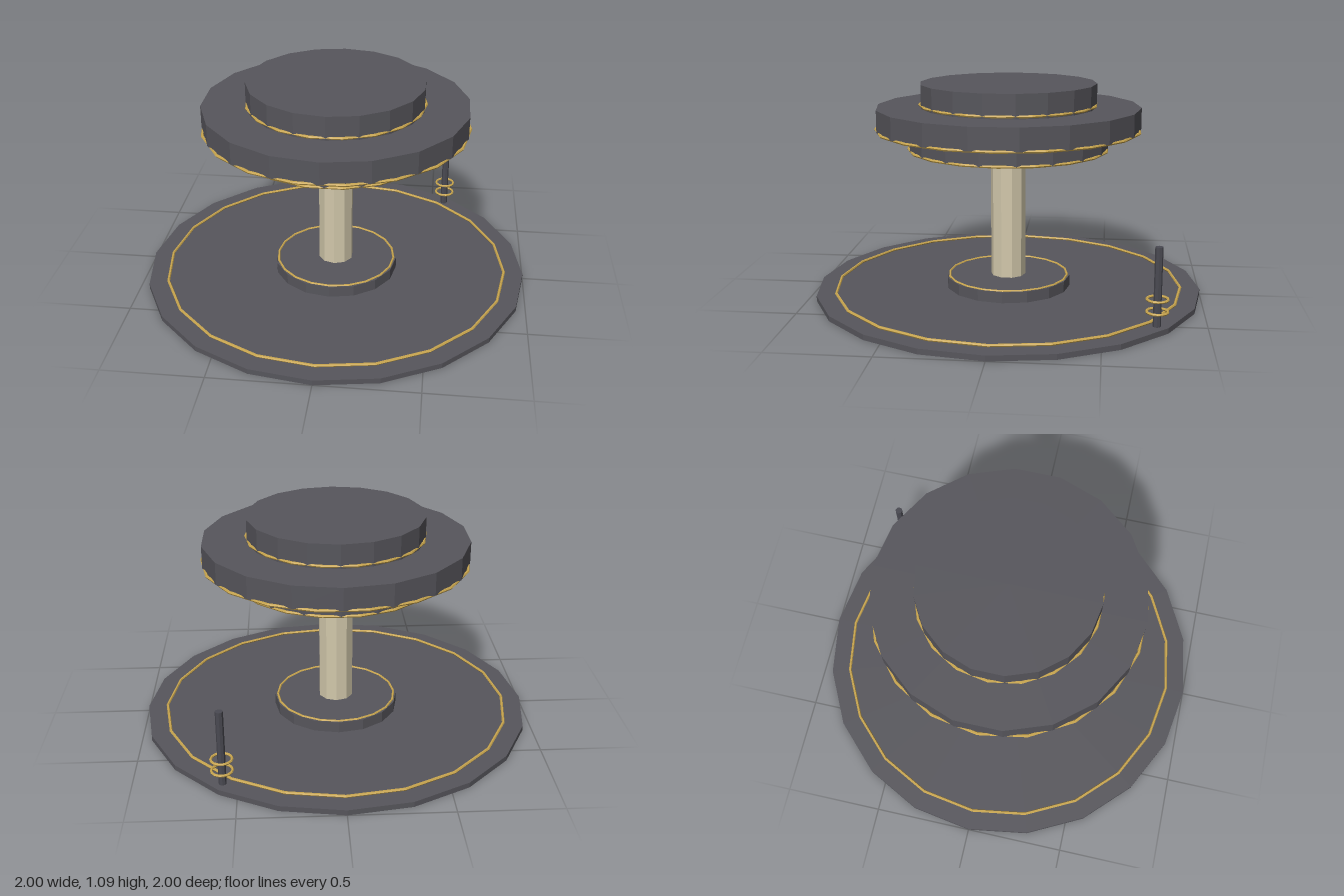
import * as THREE from 'three';

export function createModel() {
  const model = new THREE.Group();
  model.name = 'tieredPedestal';

  const mat = (name, color) => {
    const m = new THREE.MeshStandardMaterial({ color, flatShading: true });
    m.name = name;
    return m;
  };
  const slate = mat('slate', 0x57565c);
  const gold = mat('gold', 0xc9a64f);
  const cream = mat('cream', 0xd2c8ab);
  const iron = mat('iron', 0x4a4a52);

  const add = (name, geometry, material, x, y, z) => {
    const mesh = new THREE.Mesh(geometry, material);
    mesh.name = name;
    mesh.position.set(x, y, z);
    model.add(mesh);
    return mesh;
  };
  // Upright prism between two heights
  const disc = (name, r, y0, y1, sides, material = slate, x = 0, z = 0) =>
    add(name, new THREE.CylinderGeometry(r, r, y1 - y0, sides), material, x, (y0 + y1) / 2, z);
  // Horizontal trim ring
  const ring = (name, r, y, sides, tube = 0.0075, x = 0, z = 0) => {
    const g = new THREE.TorusGeometry(r, tube, 6, sides).rotateX(Math.PI / 2);
    return add(name, g, gold, x, y, z);
  };

  // Floor plate and column foot
  disc('basePlate', 1, 0, 0.027, 20);
  ring('basePlateTrim', 0.9, 0.033, 20);
  disc('columnFoot', 0.324, 0.027, 0.084, 16);
  ring('columnFootTrim', 0.31, 0.085, 20, 0.006);

  // Column
  disc('column', 0.09, 0.08, 0.765, 10, cream);

  // Three stacked tiers, each with a ring around its lower edge
  const tiers = [
    ['lowerTier', 0.51, 0.757, 0.862, 0.759],
    ['middleTier', 0.675, 0.86, 0.973, 0.861],
    ['upperTier', 0.45, 0.973, 1.093, 0.985],
  ];
  for (const [name, r, y0, y1, ringY] of tiers) {
    disc(name, r, y0, y1, 18);
    ring(name + 'Trim', r, ringY, 18);
  }

  // Thin post near the rim with two loose hoops
  const px = 0.57, pz = -0.755;
  disc('post', 0.019, 0.025, 0.414, 8, iron, px, pz);
  for (const [i, y] of [0.1, 0.161].entries()) ring('postHoop' + (i + 1), 0.05, y, 14, 0.0065, px, pz);

  return model;
}
